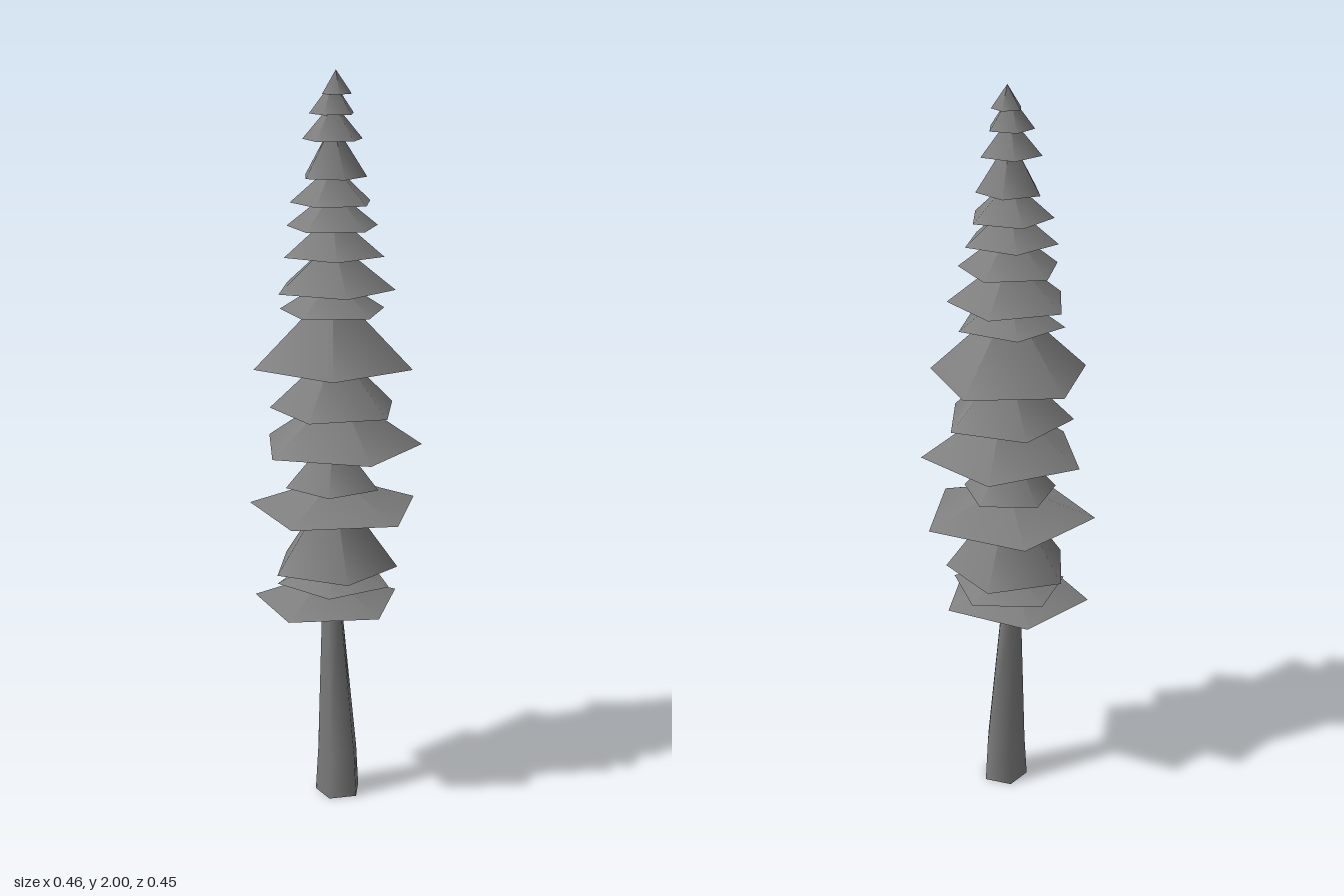
import * as THREE from 'three';

const SIDES = 5;
const green = new THREE.MeshStandardMaterial({ color: 0x808080, side: THREE.DoubleSide });
green.name = 'plain grey';

// Turns a compass angle (degrees from +x towards +z) into a start angle for a cylinder
const startAt = (deg) => Math.PI / 2 - THREE.MathUtils.degToRad(deg);

// Bough tiers, top to bottom: rim height, rise, radius, angle of one corner, centre x, centre z
const TIERS = [
  [1.94, 0.06, 0.041, -45, -0.005, 0.005],
  [1.89, 0.083, 0.062, 135, -0.01, 0.01],
  [1.825, 0.095, 0.082, 0, -0.01, 0.01],
  [1.73, 0.14, 0.088, 20, -0.01, 0.01],
  [1.663, 0.1, 0.113, 135, -0.01, 0.01],
  [1.6, 0.1, 0.126, 0, -0.01, 0.01],
  [1.528, 0.11, 0.137, 180, -0.01, 0.01],
  [1.438, 0.13, 0.164, 27, -0.01, 0.01],
  [1.379, 0.095, 0.146, 0, -0.01, 0.01],
  [1.236, 0.21, 0.219, 184, -0.01, 0.01],
  [1.114, 0.172, 0.178, 135, -0.005, 0.005],
  [1.013, 0.155, 0.225, 90, 0, 0],
  [0.902, 0.15, 0.131, 45, -0.01, 0.01],
  [0.838, 0.087, 0.239, -3.4, -0.01, 0.002],
  [0.674, 0.24, 0.175, -45, -0.01, 0.01],
  [0.626, 0.075, 0.16, 45, -0.02, -0.003],
  [0.578, 0.08, 0.205, -2, -0.01, 0.03],
];

// Trunk rings, bottom to top: height, radius, centre x, centre z
const TRUNK = [
  [0, 0.065, 0, 0],
  [0.12, 0.058, 0, 0],
  [0.57, 0.028, -0.0125, 0.012],
  [1.9, 0.006, -0.01, 0.01],
];

// Five-sided leaning trunk with a slight flare at the foot
function makeTrunk() {
  const last = TRUNK.length - 1;
  const geo = new THREE.CylinderGeometry(1, 1, last, SIDES, last, false, startAt(135));
  const pos = geo.attributes.position;
  for (let i = 0; i < pos.count; i++) {
    const [y, r, cx, cz] = TRUNK[Math.round(pos.getY(i) + last / 2)];
    pos.setXYZ(i, cx + r * pos.getX(i), y, cz + r * pos.getZ(i));
  }
  const mesh = new THREE.Mesh(geo, green);
  mesh.name = 'trunk';
  return mesh;
}

// Hollow five-sided cone of boughs
function makeTier([rimY, rise, radius, angle, x, z], index) {
  const geo = new THREE.ConeGeometry(radius, rise, SIDES, 1, true, startAt(angle));
  const mesh = new THREE.Mesh(geo, green);
  mesh.position.set(x, rimY + rise / 2, z);
  mesh.name = `boughTier${index + 1}`;
  return mesh;
}

export function createModel() {
  const tree = new THREE.Group();
  tree.name = 'coniferTree';
  const boughs = new THREE.Group();
  boughs.name = 'boughs';
  TIERS.forEach((tier, i) => boughs.add(makeTier(tier, i)));
  tree.add(makeTrunk(), boughs);
  return tree;
}
